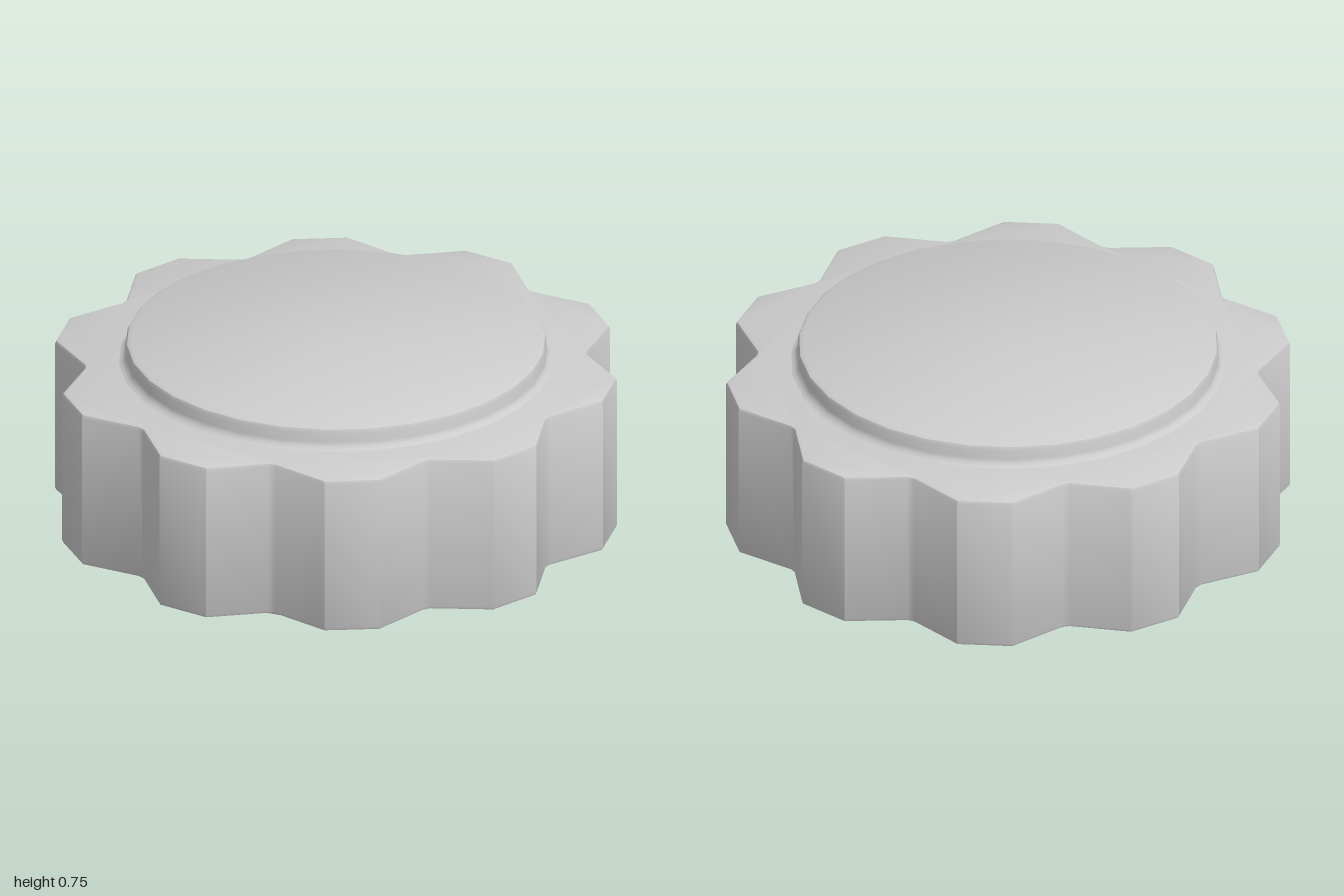
import * as THREE from 'three';
import { toCreasedNormals } from 'three/addons/utils/BufferGeometryUtils.js';

const LOBES = 10;
const HEIGHT = 0.745;
const BODY_LOW = 0.08, BODY_TOP = HEIGHT - BODY_LOW;
const BEVEL = 0.014;

// Scalloped outline: per lobe, a narrow rounded valley and a flat crest
function gripOutline() {
  const points = [];
  const lobe = [[-0.8, 0.886], [0.8, 0.886], [12.4, 1], [23.6, 1]];
  for (let i = 0; i < LOBES; i++) {
    for (const [offset, r] of lobe) {
      const a = THREE.MathUtils.degToRad(-6.2 + i * 360 / LOBES + offset);
      points.push(new THREE.Vector2(r * 0.993 * Math.cos(a), r * Math.sin(a)));
    }
  }
  return new THREE.Shape(points);
}

export function createModel() {
  const group = new THREE.Group();
  const material = new THREE.MeshStandardMaterial({ color: 0xcccccc });

  // Scalloped body with softened rims
  const bodyGeometry = new THREE.ExtrudeGeometry(gripOutline(), {
    depth: BODY_TOP - BODY_LOW - 2 * BEVEL,
    bevelEnabled: true, bevelThickness: BEVEL, bevelSize: BEVEL,
    bevelOffset: -BEVEL, bevelSegments: 2,
  });
  bodyGeometry.rotateX(Math.PI / 2).translate(0, BODY_TOP - BEVEL, 0);
  const body = new THREE.Mesh(toCreasedNormals(bodyGeometry, 0.6), material);
  body.name = 'scallopedBody';
  group.add(body);

  // Raised round face with a fillet at its foot, on top and bottom
  const profile = [
    [0.765, -0.002], [0.752, 0.004], [0.742, 0.013], [0.738, 0.026],
    [0.738, 0.06], [0.733, 0.073], [0.72, 0.08], [0, 0.08],
  ].map(([r, y]) => new THREE.Vector2(r, y));
  const discGeometry = toCreasedNormals(new THREE.LatheGeometry(profile, 30), 0.6);
  for (const side of [1, -1]) {
    const disc = new THREE.Mesh(discGeometry, material);
    disc.name = side > 0 ? 'topDisc' : 'bottomDisc';
    disc.position.y = side > 0 ? BODY_TOP : BODY_LOW;
    if (side < 0) disc.rotation.z = Math.PI;
    group.add(disc);
  }
  return group;
}
